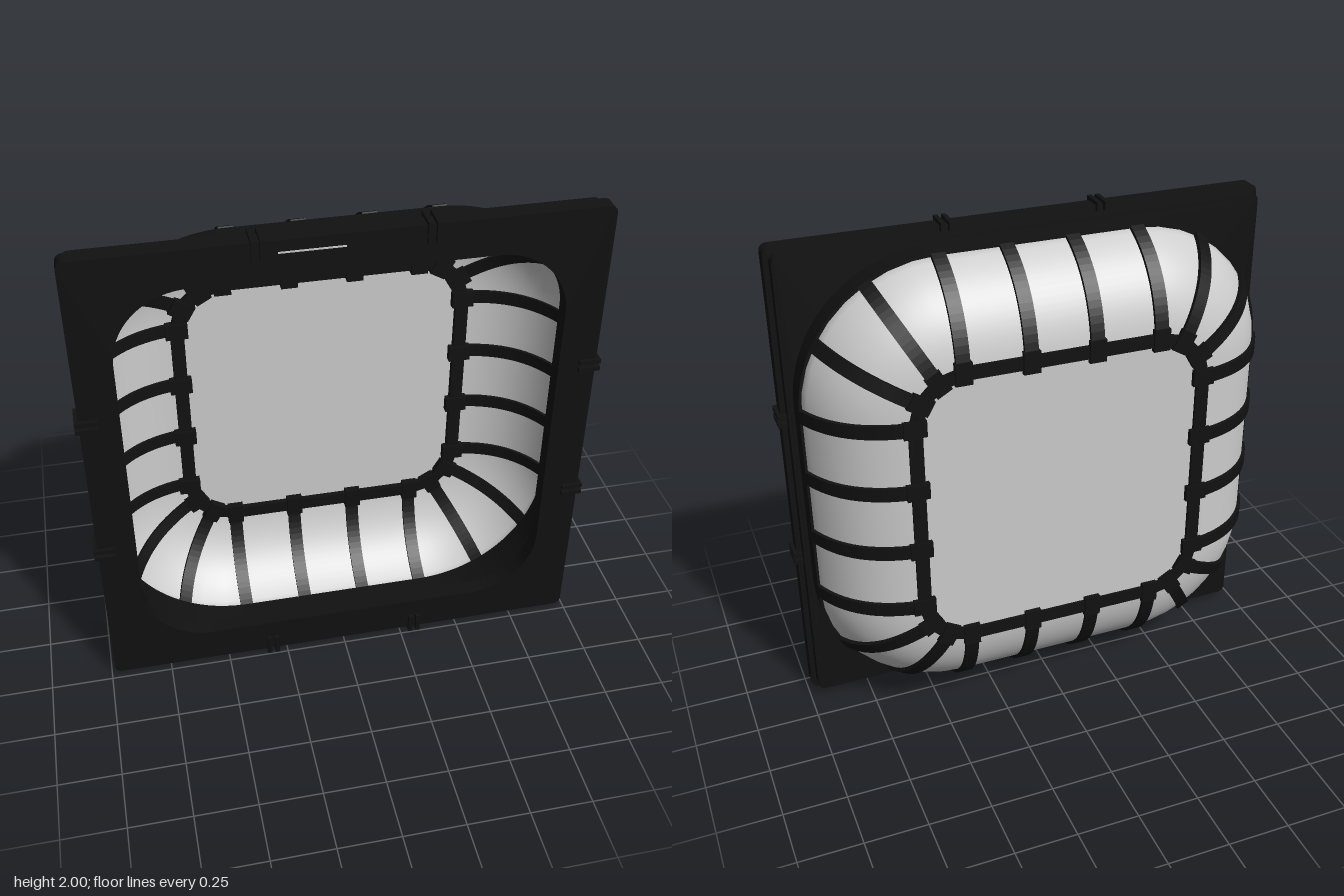
import * as THREE from 'three';

const C = 0.39; // centre of the corner arcs

export function createModel() {
  const model = new THREE.Group();
  const body = new THREE.Group();
  body.name = 'domeWindow';
  body.position.y = 1;
  model.add(body);

  const black = new THREE.MeshStandardMaterial({ color: 0x111111 });
  black.name = 'black frame';
  const grey = new THREE.MeshStandardMaterial({ color: 0xcccccc, side: THREE.DoubleSide });
  grey.name = 'pale grey glazing';

  const add = (name, geometry, material, parent = body) => {
    const mesh = new THREE.Mesh(geometry, material);
    mesh.name = name;
    parent.add(mesh);
    return mesh;
  };

  const trace = (path, h, r) => {
    const c = h - r;
    path.moveTo(c, -h);
    path.absarc(c, -c, r, -Math.PI / 2, 0, false);
    path.absarc(c, c, r, 0, Math.PI / 2, false);
    path.absarc(-c, c, r, Math.PI / 2, Math.PI, false);
    path.absarc(-c, -c, r, Math.PI, Math.PI * 1.5, false);
    path.closePath();
    return path;
  };

  // Rounded square plate with a rounded square opening
  const squareRing = (half, radius, hole, holeRadius, z0, z1) => {
    const shape = trace(new THREE.Shape(), half, radius);
    shape.holes.push(trace(new THREE.Path(), hole, holeRadius));
    return new THREE.ExtrudeGeometry(shape, { depth: z1 - z0, bevelEnabled: false, curveSegments: 12 })
      .translate(0, 0, z0);
  };
  add('frontFrame', squareRing(0.985, 0.03, 0.835, 0.28, 0.165, 0.23), black);
  add('frameStep', squareRing(0.965, 0.03, 0.915, 0.525, 0.115, 0.165), black);
  add('domeCollar', squareRing(0.94, 0.55, 0.915, 0.525, 0.02, 0.115), black);

  // Stations run around the outline: foot point and outward angle
  const stations = (offsets, angles) => {
    const list = [];
    for (let k = 0; k < 4; k++) {
      const turn = k * Math.PI / 2;
      const put = (x, y, a) => list.push({
        x: x * Math.cos(turn) - y * Math.sin(turn),
        y: x * Math.sin(turn) + y * Math.cos(turn),
        a: a + turn,
      });
      offsets.forEach(t => put(C, t, 0));
      angles.forEach(d => put(C, C, d * Math.PI / 180));
    }
    return list;
  };
  const ribStations = stations([-C, -0.13, 0.13, C], [30, 60]);
  const skinStations = stations([-C, C], [10, 20, 30, 40, 50, 60, 70, 80]);
  const pointAt = (s, r) => new THREE.Vector2(s.x + r * Math.cos(s.a), s.y + r * Math.sin(s.a));

  // Curved section of the dome: distance from foot point, depth
  const curve = new THREE.QuadraticBezierCurve(
    new THREE.Vector2(0.93 - C, 0.02),
    new THREE.Vector2(0.838 - C, -0.197),
    new THREE.Vector2(0.59 - C, -0.228));
  const N = 16;
  const profile = [new THREE.Vector2(0.92 - C, 0.07), ...curve.getPoints(N)];

  // Glazed dome skin
  const positions = [], index = [];
  const n = skinStations.length;
  profile.forEach(p => skinStations.forEach(s => {
    const q = pointAt(s, p.x);
    positions.push(q.x, q.y, p.y);
  }));
  for (let i = 0; i < profile.length - 1; i++) {
    for (let j = 0; j < n; j++) {
      const a = i * n + j, b = i * n + (j + 1) % n;
      index.push(a, a + n, b, b, a + n, b + n);
    }
  }
  const skin = new THREE.BufferGeometry();
  skin.setAttribute('position', new THREE.Float32BufferAttribute(positions, 3));
  skin.setIndex(index);
  skin.computeVertexNormals();
  add('domeSkin', skin, grey);

  // Flat centre pane and its ring
  const pane = new THREE.Shape(ribStations.map(s => pointAt(s, 0.19)));
  add('centrePane', new THREE.ShapeGeometry(pane).translate(0, 0, -0.224), grey);
  const ring = new THREE.Shape(ribStations.map(s => pointAt(s, 0.213)));
  ring.holes.push(new THREE.Path(ribStations.map(s => pointAt(s, 0.16))));
  add('paneRing', new THREE.ExtrudeGeometry(ring, { depth: 0.035, bevelEnabled: false })
    .translate(0, 0, -0.237), black);

  // Ribs follow the dome section, each ending in a clip on the ring
  const offset = d => curve.getPoints(N).map((p, i) => {
    const t = curve.getTangent(i / N);
    return new THREE.Vector2(p.x - t.y * d, p.y + t.x * d);
  });
  const ribShape = new THREE.Shape([...offset(0.014), ...offset(-0.012).reverse()]);
  const ribGeometry = new THREE.ExtrudeGeometry(ribShape, { depth: 0.054, bevelEnabled: false })
    .translate(0, 0, -0.027).rotateX(Math.PI / 2);
  const clipGeometry = new THREE.BoxGeometry(0.088, 0.066, 0.05).translate(0.188, 0, -0.219);
  ribStations.forEach(s => {
    const rib = new THREE.Group();
    rib.name = 'rib';
    rib.position.set(s.x, s.y, 0);
    rib.rotation.z = s.a;
    add('ribBar', ribGeometry, black, rib);
    add('ribClip', clipGeometry, black, rib);
    body.add(rib);
  });

  // Paired edge clasps, two per side
  const clasp = new THREE.BoxGeometry(0.085, 0.018, 0.1);
  for (let k = 0; k < 4; k++) {
    const side = new THREE.Group();
    side.name = 'edgeClasps';
    side.rotation.z = k * Math.PI / 2;
    [-0.31, 0.31].forEach(t => [-0.016, 0.016].forEach(d =>
      add('clasp', clasp, black, side).position.set(0.9575, t + d, 0.195)));
    body.add(side);
  }

  // Thin pale strip on the upper frame
  add('frameStrip', new THREE.BoxGeometry(0.24, 0.006, 0.004), grey).position.set(-0.12, 0.938, 0.231);

  return model;
}
